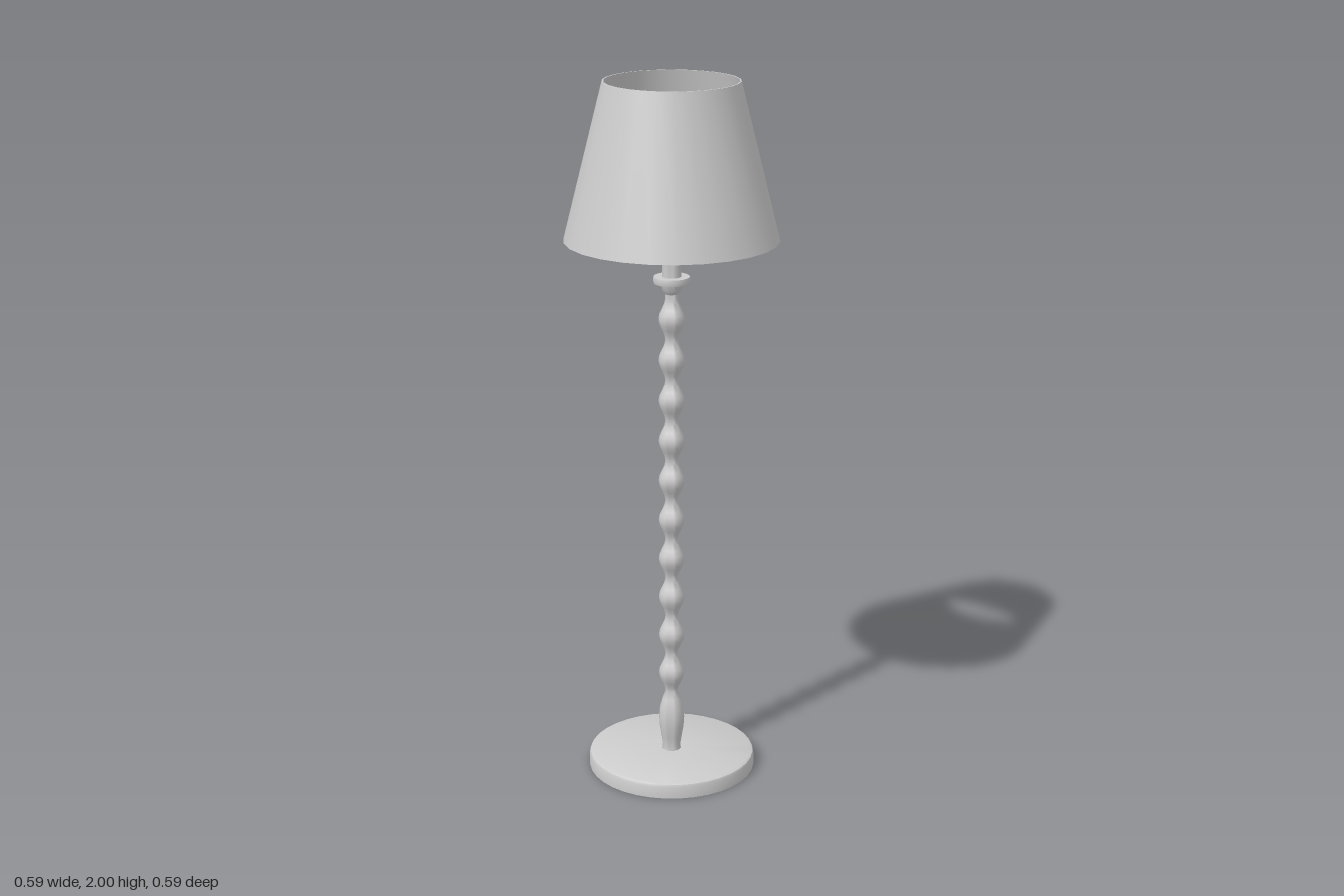
import * as THREE from 'three';
import { toCreasedNormals } from 'three/addons/utils/BufferGeometryUtils.js';

const solid = new THREE.MeshStandardMaterial({ color: 0xcccccc });
const thin = new THREE.MeshStandardMaterial({ color: 0xcccccc, side: THREE.DoubleSide });

// Turned part from [radius, height] pairs, listed upwards along the outside
function turned(name, profile, segments, material = solid, crease = 0.6) {
  const points = profile.map(([r, y]) => new THREE.Vector2(r, y));
  const lathe = new THREE.LatheGeometry(points, segments, Math.PI / 2);
  const mesh = new THREE.Mesh(toCreasedNormals(lathe, crease), material);
  mesh.name = name;
  return mesh;
}

export function createModel() {
  const lamp = new THREE.Group();
  lamp.name = 'floorLamp';

  // Base: hollow dish, open underneath, with a hole for the pole
  lamp.add(turned('base', [
    [0.24, 0], [0.24, 0.034], [0.237, 0.041], [0.23, 0.045], [0.027, 0.045],
  ], 36, thin));

  // Pole: a long foot bead, then ten equal beads
  const neck = 0.018, bulge = 0.037, pitch = 0.1175, firstNeck = 0.227, beads = 10;
  const pole = [[0.027, 0.045], [0.026, 0.06], [0.03, 0.085], [0.035, 0.115],
    [bulge, 0.145], [0.034, 0.178], [0.026, 0.205]];
  const steps = 8;
  for (let i = 0; i <= beads * steps; i++) {
    const wave = (1 - Math.cos((i / steps) * Math.PI * 2)) / 2;
    pole.push([neck + (bulge - neck) * wave, firstNeck + (i / steps) * pitch]);
  }
  pole.push([0.018, 1.425]);
  lamp.add(turned('pole', pole, 24, thin, 1.2));

  // Cup and drip disc on top of the pole
  lamp.add(turned('cupAndDisc', [
    [0.018, 1.415], [0.026, 1.425], [0.031, 1.444], [0.05, 1.446],
    [0.052, 1.455], [0.05, 1.464], [0, 1.464],
  ], 24));

  // Bulb socket, flaring towards the collar
  lamp.add(turned('socket', [
    [0.027, 1.462], [0.026, 1.54], [0.028, 1.555], [0.034, 1.567], [0.034, 1.585], [0, 1.585],
  ], 24));

  // Collar carrying the shade
  lamp.add(turned('collar', [
    [0, 1.567], [0.046, 1.567], [0.048, 1.574], [0.046, 1.581], [0, 1.581],
  ], 24));

  // Bulb: narrow neck opening into a globe
  const bulb = [[0.02, 1.58], [0.02, 1.6], [0.024, 1.618]];
  for (let i = 0; i <= 12; i++) {
    const a = -0.9 + (i / 12) * (Math.PI / 2 + 0.9);
    bulb.push([Math.max(0, 0.045 * Math.cos(a)), 1.672 + 0.045 * Math.sin(a)]);
  }
  lamp.add(turned('bulb', bulb, 24, solid, 1.2));

  // Shade: thin tapered wall, open at both ends
  lamp.add(turned('shade', [
    [0.296, 1.567], [0.187, 2], [0.183, 2], [0.292, 1.567], [0.296, 1.567],
  ], 26, thin));

  // Four wires from the collar to the lower rim of the shade
  const inner = 0.04, outer = 0.291;
  const wires = new THREE.Group();
  wires.name = 'shadeWires';
  for (let i = 0; i < 4; i++) {
    const geometry = new THREE.CylinderGeometry(0.002, 0.002, outer - inner, 8);
    geometry.rotateZ(Math.PI / 2).translate((inner + outer) / 2, 1.574, 0);
    geometry.rotateY(Math.PI / 4 + (i * Math.PI) / 2);
    const wire = new THREE.Mesh(geometry, solid);
    wire.name = 'shadeWire';
    wires.add(wire);
  }
  lamp.add(wires);

  return lamp;
}
